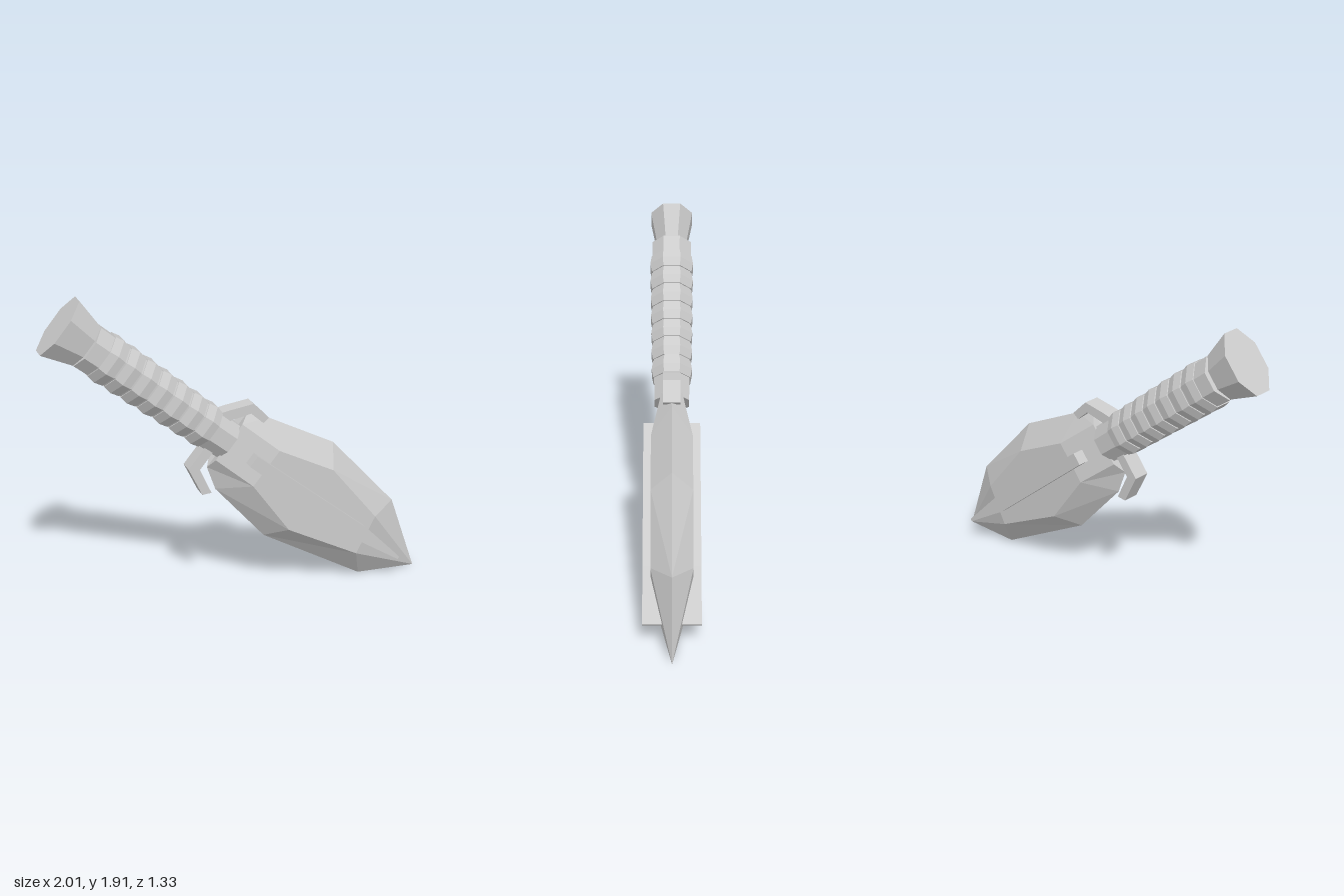
import * as THREE from 'three';

const material = new THREE.MeshStandardMaterial({ color: 0xcccccc, flatShading: true });

function addMesh(parent, name, geometry) {
  const mesh = new THREE.Mesh(geometry, material);
  mesh.name = name;
  parent.add(mesh);
  return mesh;
}

// Eight-sided turned part along +x; profile points are [radius, position]
function turned(profile, depthScale) {
  const points = profile.map(([r, s]) => new THREE.Vector2(r, s));
  const g = new THREE.LatheGeometry(points, 8, Math.PI / 8).rotateZ(-Math.PI / 2).scale(1, 1, depthScale).toNonIndexed();
  g.computeVertexNormals();
  return g;
}

// Flat outline extruded evenly to both sides of z = 0
function plate(outline, depth) {
  const shape = new THREE.Shape(outline.map(([x, y]) => new THREE.Vector2(x, y)));
  return new THREE.ExtrudeGeometry(shape, { depth, bevelEnabled: false }).translate(0, 0, -depth / 2);
}

// Blade: a sharp outer edge loop and a raised ridge loop, mirrored in z
function bladeGeometry() {
  const edge = [[-0.66, -0.2], [-0.53, -0.28], [-0.08, -0.355], [0.62, -0.23], [0.911, 0],
    [0.5, 0.26], [-0.08, 0.345], [-0.53, 0.245], [-0.66, 0.2]];
  const ridge = [[-0.67, -0.13, 0.06], [-0.4, -0.13, 0.12], [-0.03, -0.23, 0.12], [0.45, -0.125, 0.12], [0.911, 0, 0],
    [0.4, 0.127, 0.12], [-0.03, 0.215, 0.12], [-0.4, 0.13, 0.12], [-0.67, 0.13, 0.06]];
  const positions = [];
  const tri = (a, b, c) => {
    for (const p of [a, b, c]) positions.push(p[0], p[1], p[2] || 0);
    for (const p of [a, c, b]) positions.push(p[0], p[1], -(p[2] || 0));
  };
  const quad = (a, b, c, d) => { tri(a, b, c); tri(a, c, d); };
  const n = edge.length;
  for (let i = 0; i < n; i++) {
    const j = (i + 1) % n;
    if (j === 4) tri(edge[i], edge[j], ridge[i]);
    else if (i === 4) tri(edge[i], edge[j], ridge[j]);
    else quad(edge[i], edge[j], ridge[j], ridge[i]);
  }
  // Broad centre faces
  for (let i = 0; i < 3; i++) quad(ridge[i], ridge[i + 1], ridge[7 - i], ridge[8 - i]);
  tri(ridge[3], ridge[4], ridge[5]);
  const g = new THREE.BufferGeometry();
  g.setAttribute('position', new THREE.Float32BufferAttribute(positions, 3));
  g.computeVertexNormals();
  return g;
}

export function createModel() {
  const model = new THREE.Group();
  model.name = 'dagger';

  // Local axes: x toward the tip, y across the blade, z through its thickness
  const dagger = new THREE.Group();
  dagger.name = 'tiltedDagger';
  const tilt = 0.677, c = Math.cos(tilt), s = Math.sin(tilt);
  const tipward = new THREE.Vector3(0.855 * c, -s, -0.519 * c);
  const across = new THREE.Vector3(0.855 * s, c, -0.519 * s);
  const through = new THREE.Vector3().crossVectors(tipward, across);
  dagger.quaternion.setFromRotationMatrix(new THREE.Matrix4().makeBasis(tipward, across, through));
  dagger.position.copy(across).multiplyScalar(0.733);
  model.add(dagger);

  addMesh(dagger, 'blade', bladeGeometry());

  // Central rib running through both faces of the blade
  addMesh(dagger, 'bladeRib', plate(
    [[-0.518, -0.04], [0.36, -0.05], [0.687, -0.008], [0.687, 0.008], [0.36, 0.045], [-0.518, 0.035]], 0.33));

  // Two hooked guard arms
  addMesh(dagger, 'upperGuard', plate(
    [[-0.82, 0], [-0.82, 0.11], [-0.78, 0.16], [-0.685, 0.265], [-0.55, 0.25], [-0.56, 0.205],
      [-0.66, 0.21], [-0.74, 0.11], [-0.74, 0]], 0.1));
  addMesh(dagger, 'lowerGuard', plate(
    [[-0.77, 0], [-0.77, -0.265], [-0.6, -0.345], [-0.56, -0.305], [-0.71, -0.23], [-0.71, 0]], 0.1));

  // Grip core with overlapping wrapped bands
  addMesh(dagger, 'grip', turned([[0, -1.72], [0.142, -1.72], [0.122, -0.66], [0, -0.66]], 0.9));
  const bands = 7, start = -1.62, pitch = 0.118;
  for (let i = 0; i < bands; i++) {
    const a = start + i * pitch, r = 0.14 - i * 0.0022;
    addMesh(dagger, 'gripBand' + (i + 1), turned(
      [[r - 0.02, a], [r + 0.006, a], [r + 0.016, a + pitch * 0.45], [r + 0.004, a + pitch * 0.9], [r - 0.02, a + pitch * 0.9]], 0.9));
  }

  // Flared oval pommel
  addMesh(dagger, 'pommel', turned(
    [[0, -1.915], [0.2, -1.915], [0.14, -1.71], [0, -1.71]], 0.68));

  return model;
}
